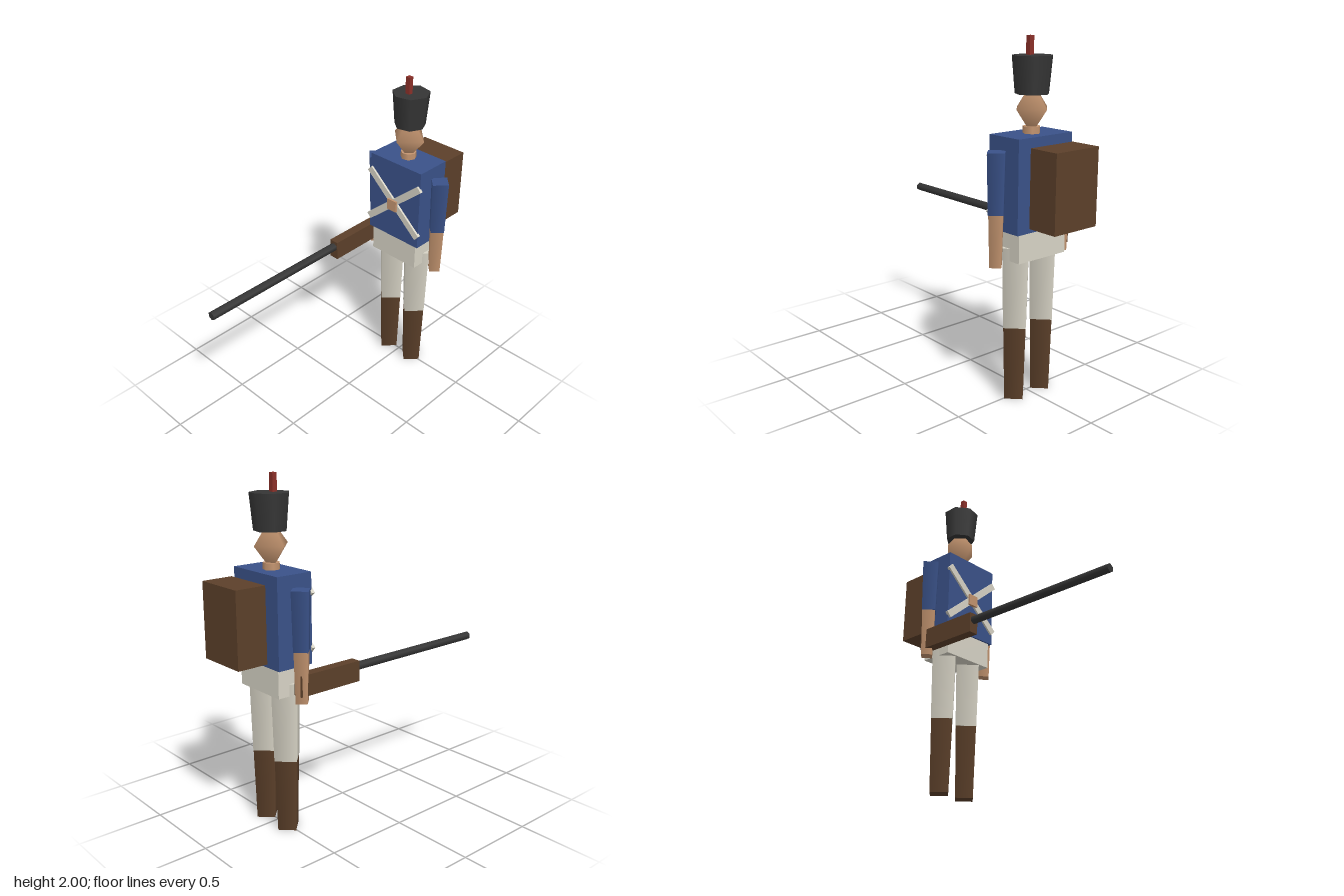
import * as THREE from 'three';

const mat = (name, color) => {
  const m = new THREE.MeshStandardMaterial({ color });
  m.name = name;
  return m;
};

export function createModel() {
  const blue = mat('coat blue', 0x3a5289);
  const cream = mat('cream cloth', 0xd8d4c6);
  const skin = mat('skin', 0xc3946f);
  const brown = mat('brown leather', 0x5c402a);
  const black = mat('black', 0x353535);
  const red = mat('plume red', 0x8c3029);

  const model = new THREE.Group();
  model.name = 'toySoldier';
  const Z = -0.505; // depth of the body's axis; the gun reaches far forward

  const add = (name, geometry, material, x, y, z) => {
    const mesh = new THREE.Mesh(geometry, material);
    mesh.name = name;
    mesh.position.set(x, y, z);
    model.add(mesh);
    return mesh;
  };
  const box = (name, material, w, h, d, x, y, z) =>
    add(name, new THREE.BoxGeometry(w, h, d), material, x, y, z);
  // Upright tapered prism between two heights
  const prism = (name, material, rTop, rBottom, y0, y1, sides, x) =>
    add(name, new THREE.CylinderGeometry(rTop, rBottom, y1 - y0, sides), material, x, (y0 + y1) / 2, Z);

  // Body
  box('torso', blue, 0.388, 0.51, 0.225, 0, 1.237, -0.503);
  box('hips', cream, 0.345, 0.165, 0.205, 0, 0.903, -0.503);

  // Limbs: four-sided and tapering downwards
  for (const [side, s] of [['left', 1], ['right', -1]]) {
    prism(side + 'Trouser', cream, 0.1, 0.088, 0.43, 0.89, 4, s * 0.101);
    prism(side + 'Boot', brown, 0.086, 0.073, 0, 0.43, 4, s * 0.101);
    prism(side + 'Sleeve', blue, 0.066, 0.057, 1.09, 1.42, 4, s * 0.247);
    prism(side + 'Forearm', skin, 0.054, 0.045, 0.8, 1.09, 4, s * 0.247);
  }

  // Neck, diamond head and seven-sided hat
  prism('neck', skin, 0.048, 0.048, 1.48, 1.53, 7, 0).rotation.y = Math.PI / 2;
  add('head', new THREE.SphereGeometry(0.112, 4, 2), skin, 0, 1.625, Z).scale.y = 1.25;
  prism('hat', black, 0.111, 0.093, 1.7, 1.9, 7, 0).rotation.y = Math.PI / 2;
  box('plume', red, 0.03, 0.12, 0.028, 0, 1.94, -0.483);

  // Crossed straps with a buckle
  for (const s of [-1, 1]) {
    const strap = box('crossStrap', cream, 0.513, 0.043, 0.02, 0, 1.226, -0.388);
    strap.rotation.z = s * 0.715;
  }
  box('buckle', skin, 0.07, 0.07, 0.018, 0, 1.215, -0.374);

  // Backpack
  box('backpack', brown, 0.306, 0.425, 0.183, 0, 1.237, -0.752);

  // Gun held in the right hand
  box('gunStock', brown, 0.06, 0.12, 0.415, -0.246, 0.9, -0.324);
  add('gunBarrel', new THREE.CylinderGeometry(0.026, 0.026, 1.0, 6), black, -0.245, 0.92, 0.342)
    .rotation.x = Math.PI / 2;

  return model;
}
